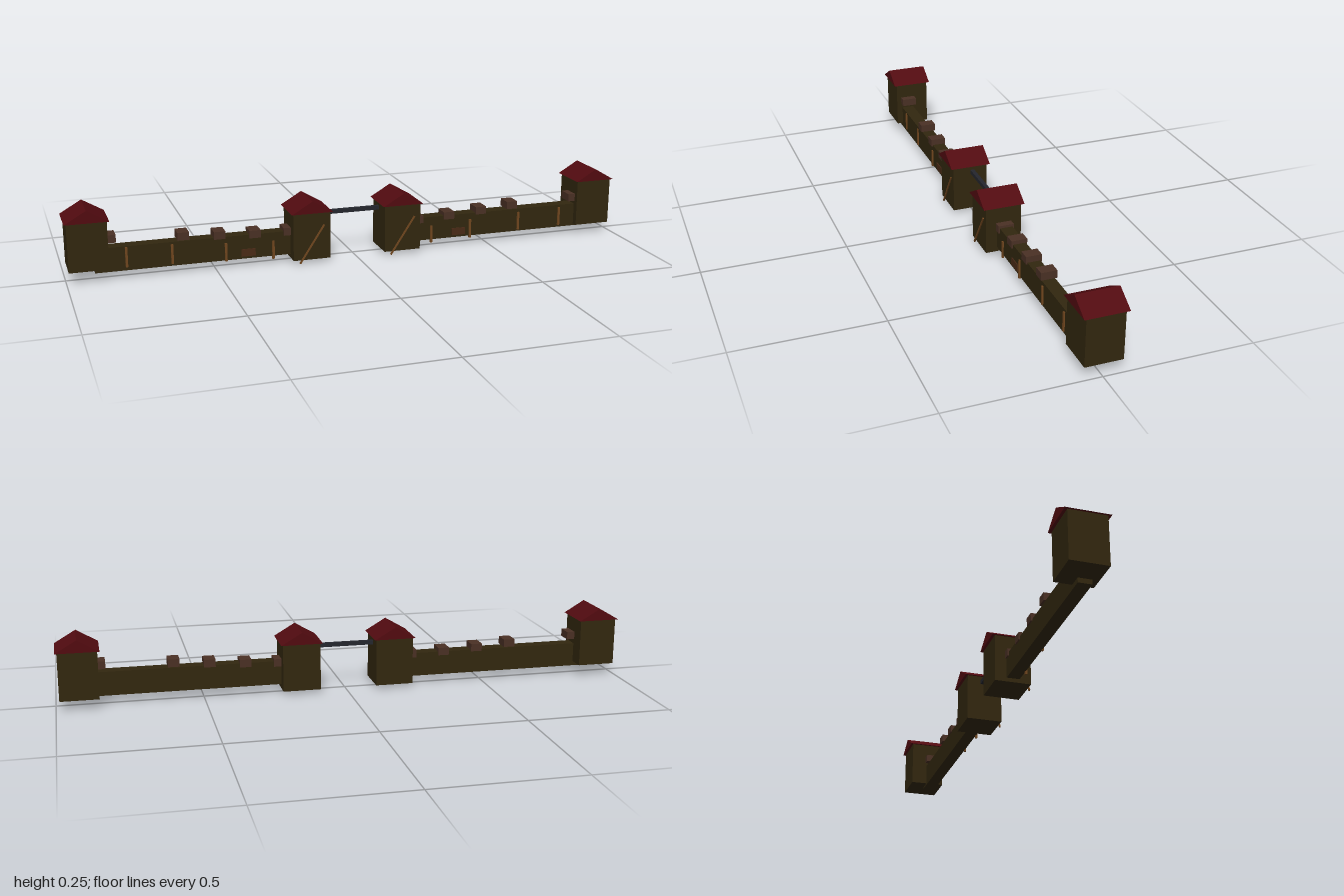
import * as THREE from 'three';

const mat = (name, color) => {
  const m = new THREE.MeshStandardMaterial({ color });
  m.name = name;
  return m;
};

export function createModel() {
  const model = new THREE.Group();
  model.name = 'gatehouseWall';
  const wood = mat('darkTimber', 0x32270f);
  const red = mat('roofRed', 0x520b10);
  const stone = mat('merlonBrown', 0x4a3024);
  const post = mat('postBrown', 0x70461e);
  const patch = mat('patchBrown', 0x4a2a16);
  const iron = mat('iron', 0x24262d);

  // Box given by its extents on each axis
  const box = (name, m, [x0, x1], [y0, y1], [z0, z1], parent = model) => {
    const mesh = new THREE.Mesh(new THREE.BoxGeometry(x1 - x0, y1 - y0, z1 - z0), m);
    mesh.name = name;
    mesh.position.set((x0 + x1) / 2, (y0 + y1) / 2, (z0 + z1) / 2);
    parent.add(mesh);
    return mesh;
  };

  // Square tower with a gable roof whose ridge runs along z
  const tower = (name, x, y, z) => {
    const g = new THREE.Group();
    g.name = name;
    g.position.set(x, y, z);
    box('towerBody', wood, [-0.066, 0.066], [0, 0.17], [-0.063, 0.063], g);
    const s = new THREE.Shape();
    s.moveTo(-0.0735, 0.167);
    s.lineTo(0.0735, 0.167);
    s.lineTo(0, 0.21);
    s.closePath();
    const geo = new THREE.ExtrudeGeometry(s, { depth: 0.145, bevelEnabled: false });
    geo.translate(0, 0, -0.0725);
    const roof = new THREE.Mesh(geo, red);
    roof.name = 'gableRoof';
    g.add(roof);
    model.add(g);
  };
  tower('outerTowerRight', -0.926, 0.042, -0.008);
  tower('outerTowerLeft', 0.9215, 0.035, -0.008);
  tower('gateTowerRight', -0.169, 0.012, 0.01);
  tower('gateTowerLeft', 0.163, 0.012, 0.01);

  // Wall runs between the towers
  box('wallRight', wood, [-0.905, -0.19], [0.026, 0.11], [-0.012, 0.033]);
  box('wallLeft', wood, [0.19, 0.902], [0.028, 0.112], [-0.012, 0.033]);

  // Merlons step down towards the gate: [x, centre height]
  const merlons = [
    [-0.852, 0.141], [-0.608, 0.127], [-0.484, 0.118], [-0.361, 0.111], [-0.24, 0.109],
    [0.235, 0.107], [0.354, 0.112], [0.478, 0.12], [0.601, 0.129], [0.85, 0.137],
  ];
  for (const [x, y] of merlons)
    box('merlon', stone, [x - 0.02, x + 0.02], [y - 0.0135, y + 0.0135], [-0.017, 0.038]);

  // Timber posts on the front face: [x, bottom, top]
  const posts = [
    [-0.8, 0.038, 0.107], [-0.647, 0.034, 0.102], [-0.463, 0.024, 0.088], [-0.297, 0.016, 0.08],
    [0.287, 0.018, 0.08], [0.437, 0.022, 0.09], [0.628, 0.034, 0.1], [0.793, 0.036, 0.104],
  ];
  for (const [x, y0, y1] of posts)
    box('wallPost', post, [x - 0.004, x + 0.004], [y0, y1], [0.031, 0.038]);

  // Repaired patches
  box('wallPatch', patch, [-0.41, -0.36], [0.034, 0.06], [0.03, 0.036]);
  box('wallPatch', patch, [0.367, 0.418], [0.036, 0.062], [0.03, 0.036]);

  // Diagonal braces on the gate towers
  for (const x of [-0.169, 0.163]) {
    const b = box('diagonalBrace', post, [-0.0028, 0.0028], [-0.08, 0.08], [-0.0025, 0.0025]);
    b.position.set(x, 0.0675, 0.0745);
    b.rotation.z = -0.58;
  }

  // Bar across the gate opening
  box('gateBar', iron, [-0.12, 0.115], [0.15, 0.164], [-0.005, 0.009]);
  return model;
}
